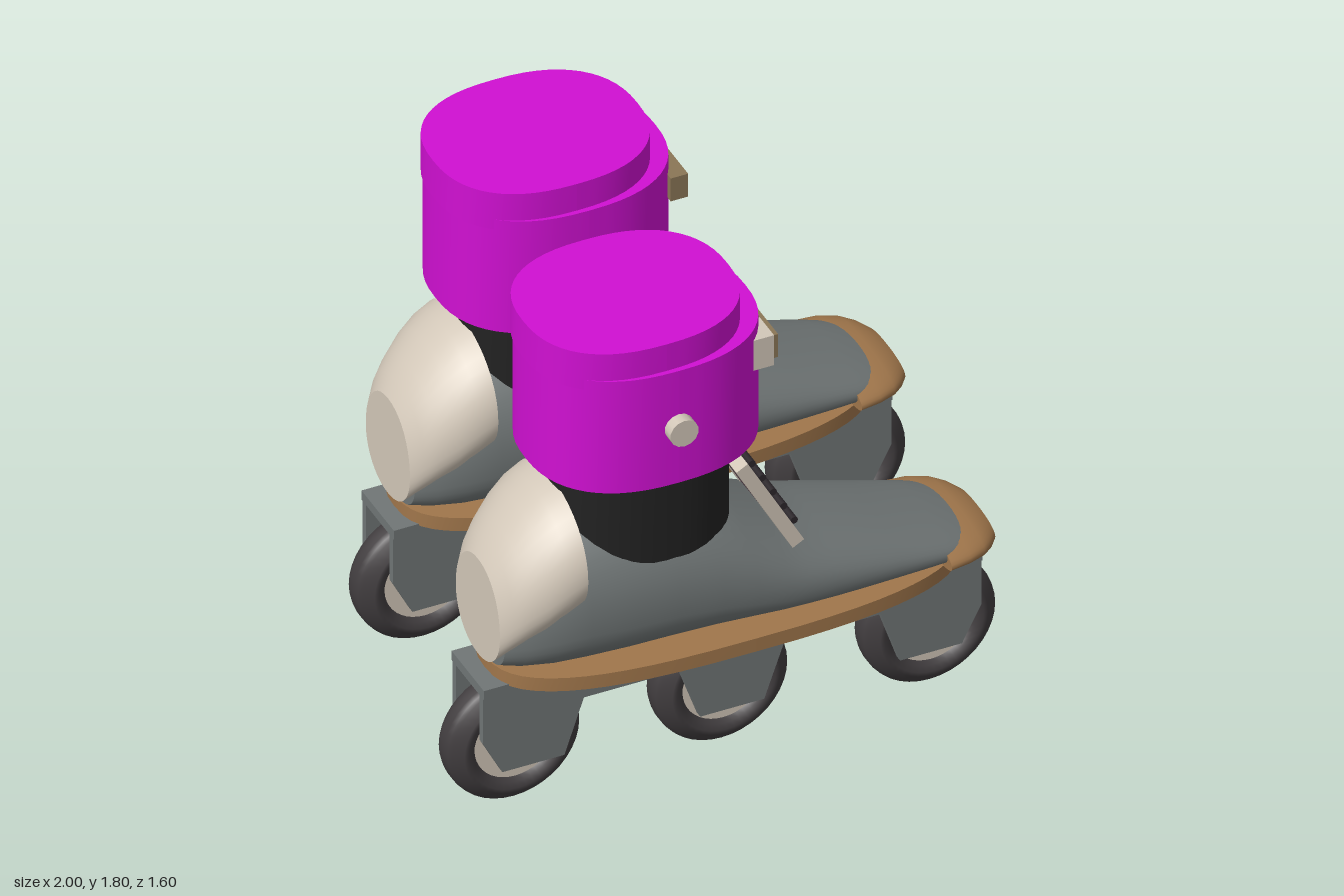
import * as THREE from 'three';

const mat = (name, color) => Object.assign(new THREE.MeshStandardMaterial({ color }), { name });
const M = {
  cuff: mat('magenta', 0xd010d2),
  boot: mat('grey', 0x707676),
  wood: mat('brown', 0xa0764b),
  cream: mat('cream', 0xd2c7b8),
  sock: mat('black', 0x222222),
  tire: mat('tireGrey', 0x413d3f),
  tongue: mat('mauve', 0x664f5a),
  strap: mat('olive', 0x8a7656),
  lace: mat('laceDark', 0x2c272b),
};

function add(parent, name, geo, material, x = 0, y = 0, z = 0) {
  const m = new THREE.Mesh(geo, material);
  m.name = name;
  m.position.set(x, y, z);
  parent.add(m);
  return m;
}

const box = (x, y, z) => new THREE.BoxGeometry(x, y, z);
const rod = (r, len, n = 16) => new THREE.CylinderGeometry(r, r, len, n).rotateX(Math.PI / 2);
const sp = (v, p) => Math.sign(v) * Math.pow(Math.abs(v), 2 / p);

// Upright drum with a superellipse outline
function oval(a, b, height, p) {
  const g = new THREE.CylinderGeometry(1, 1, height, 56);
  const pos = g.attributes.position;
  for (let i = 0; i < pos.count; i++) {
    const x = pos.getX(i), z = pos.getZ(i);
    if (Math.hypot(x, z) > 0.5) pos.setXYZ(i, a * sp(x, p), pos.getY(i), b * sp(z, p));
  }
  g.computeVertexNormals();
  return g;
}

// Closed loft along x; each section is [x, halfWidth, bottom, top]
function loft(sections, pLow, pHigh, mid = 0.42, n = 40) {
  const v = [], idx = [];
  const ring = ([x, w, y0, y1]) => {
    const yc = y0 + (y1 - y0) * mid;
    for (let j = 0; j < n; j++) {
      const t = (j / n) * Math.PI * 2, c = Math.cos(t), s = Math.sin(t);
      const p = s < 0 ? pLow : pHigh;
      v.push(x, yc + sp(s, p) * (s < 0 ? yc - y0 : y1 - yc), w * sp(c, p));
    }
  };
  sections.forEach(ring);
  for (let i = 0; i < sections.length - 1; i++)
    for (let j = 0; j < n; j++) {
      const k = (j + 1) % n, a = i * n + j, b = a + n, c = (i + 1) * n + k, d = i * n + k;
      idx.push(a, b, c, a, c, d);
    }
  // flat end caps
  [sections[0], sections[sections.length - 1]].forEach((s, e) => {
    const base = v.length / 3;
    ring(s);
    v.push(s[0], (s[2] + s[3]) / 2, 0);
    for (let j = 0; j < n; j++) {
      const a = base + j, b = base + (j + 1) % n;
      idx.push(base + n, e ? b : a, e ? a : b);
    }
  });
  const g = new THREE.BufferGeometry();
  g.setAttribute('position', new THREE.Float32BufferAttribute(v, 3));
  g.setIndex(idx);
  g.computeVertexNormals();
  return g;
}

const WHEEL_X = [-0.715, 0, 0.715];

function makeWheel() {
  const g = new THREE.Group();
  g.name = 'wheel';
  const half = [[0.14, 0.045], [0.15, 0.062], [0.17, 0.07], [0.185, 0.069], [0.215, 0.042], [0.226, 0.033], [0.23, 0.015]];
  const profile = [...half.map(([r, y]) => [r, -y]), ...half.slice().reverse()];
  add(g, 'tire', new THREE.LatheGeometry(profile.map(([r, y]) => new THREE.Vector2(r, y)), 40).rotateX(Math.PI / 2), M.tire);
  add(g, 'hubDisc', rod(0.148, 0.08, 36), M.cream);
  add(g, 'hubCore', rod(0.07, 0.13, 24), M.cream);
  add(g, 'axle', rod(0.033, 0.2), M.cream);
  for (const s of [-1, 1]) add(g, 'valve', rod(0.012, 0.02, 8), M.lace, 0, -0.09, s * 0.04);
  return g;
}

// Side plate with a tapered leg over each wheel
function plateGeometry() {
  const s = new THREE.Shape();
  s.moveTo(0.857, 0.5);
  s.lineTo(-0.857, 0.5);
  const pts = [[-0.857, 0.3], [-0.79, 0.17], [-0.577, 0.17], [-0.51, 0.37], [-0.18, 0.37], [-0.11, 0.17]];
  pts.forEach(([x, y]) => s.lineTo(x, y));
  pts.slice().reverse().forEach(([x, y]) => s.lineTo(-x, y));
  return new THREE.ExtrudeGeometry(s, { depth: 0.026, bevelEnabled: false }).translate(0, 0, -0.013);
}

// side = +1 or -1: which way the outer face of the skate points
function makeSkate(side) {
  const g = new THREE.Group();
  g.name = side > 0 ? 'leftSkate' : 'rightSkate';

  // Wheels and frame
  for (const x of WHEEL_X) {
    const w = makeWheel();
    w.position.set(x, 0.23, 0);
    g.add(w);
  }
  for (const s of [-1, 1]) add(g, 'framePlate', plateGeometry(), M.boot, 0, 0, s * 0.098);
  add(g, 'frameTop', box(1.714, 0.035, 0.235), M.boot, 0, 0.49, 0);

  // Sole
  add(g, 'sole', oval(0.8, 0.285, 0.05, 2.7), M.wood, 0, 0.527, 0);

  // Boot body
  add(g, 'bootBody', loft([
    [-0.8, 0.15, 0.56, 0.88], [-0.74, 0.2, 0.555, 0.96], [-0.65, 0.24, 0.55, 1.04], [-0.55, 0.262, 0.55, 1.08],
    [-0.4, 0.272, 0.55, 1.06], [-0.25, 0.275, 0.55, 1.05], [-0.1, 0.276, 0.55, 1.0], [0.02, 0.276, 0.55, 0.93],
    [0.12, 0.274, 0.55, 0.865], [0.2, 0.27, 0.55, 0.825], [0.3, 0.263, 0.55, 0.79], [0.39, 0.255, 0.55, 0.762],
    [0.52, 0.24, 0.55, 0.718], [0.62, 0.227, 0.55, 0.685], [0.7, 0.215, 0.55, 0.66], [0.8, 0.19, 0.55, 0.628],
    [0.87, 0.14, 0.55, 0.598],
  ], 2.7, 2.1), M.boot);
  add(g, 'toeCap', loft([
    [0.69, 0.25, 0.54, 0.63], [0.76, 0.24, 0.54, 0.632], [0.82, 0.215, 0.537, 0.628], [0.86, 0.18, 0.535, 0.618],
    [0.893, 0.135, 0.535, 0.6],
  ], 2.4, 2.2, 0.45), M.wood);
  add(g, 'heelCap', loft([
    [-0.822, 0.16, 0.565, 0.93], [-0.79, 0.195, 0.6, 0.985], [-0.75, 0.222, 0.63, 1.035], [-0.69, 0.25, 0.665, 1.1],
    [-0.63, 0.267, 0.71, 1.145], [-0.572, 0.274, 0.75, 1.17],
  ], 2.1, 2.1, 0.45), M.cream);

  // Ankle and cuff
  add(g, 'ankle', oval(0.298, 0.238, 0.42, 2.3), M.sock, -0.285, 1.08, 0);
  add(g, 'cuff', oval(0.378, 0.32, 0.43, 2.4), M.cuff, -0.28, 1.48, 0);
  add(g, 'cuffLid', oval(0.352, 0.303, 0.14, 2.4), M.cuff, -0.315, 1.727, 0);
  add(g, 'cuffBolt', rod(0.049, 0.72, 14), M.cream, -0.282, 1.48, 0);

  // Buckle and strap across the front of the cuff
  add(g, 'buckle', box(0.07, 0.115, 0.105), M.cream, 0.055, 1.595, side * 0.172);
  add(g, 'strap', box(0.06, 0.088, 0.415), M.strap, 0.082, 1.595, 0);

  // Lacing panel, leaning back along the instep
  const lacing = new THREE.Group();
  lacing.name = 'lacing';
  lacing.position.set(0.085, 0.985, 0);
  lacing.rotation.z = Math.atan2(0.188, 0.34);
  g.add(lacing);
  for (const s of [-1, 1]) add(lacing, 'laceStrip', box(0.045, 0.4, 0.07), M.cream, 0, 0, s * 0.173);
  add(lacing, 'tongue', box(0.04, 0.395, 0.28), M.tongue, 0, 0, 0);
  for (let i = 0; i < 5; i++) add(lacing, 'lace', rod(0.013, 0.29, 10), M.lace, 0.034, 0.13 - i * 0.075, 0);
  return g;
}

export function createModel() {
  const model = new THREE.Group();
  model.name = 'skates';
  for (const s of [1, -1]) {
    const skate = makeSkate(s);
    skate.position.set(-0.054 * s, 0, 0.44 * s);
    model.add(skate);
  }
  // Bar joining the two soles
  add(model, 'crossbar', box(0.135, 0.08, 0.36), M.wood, -0.025, 0.542, 0);
  return model;
}
